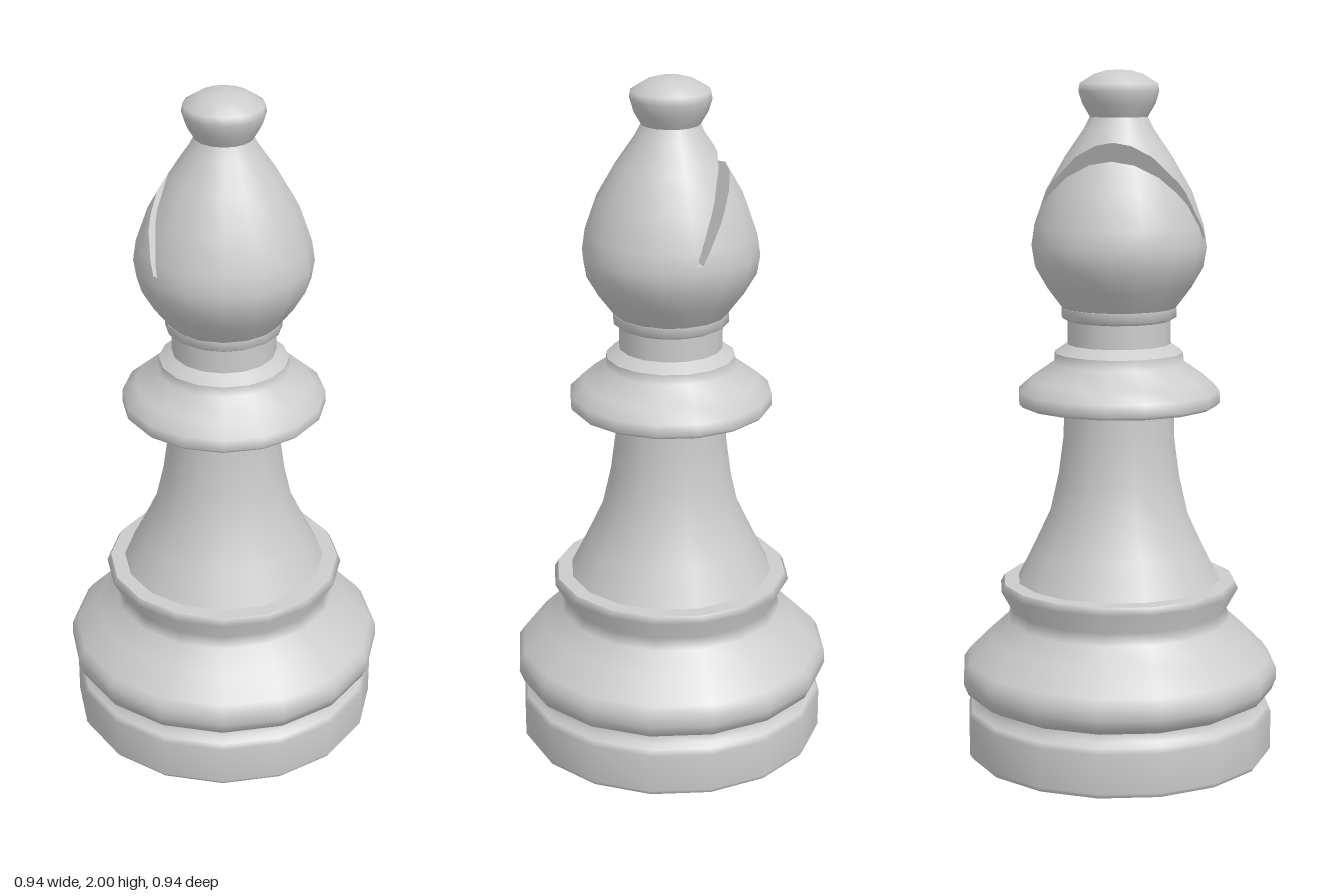
import * as THREE from 'three';

const SIDES = 16;
const material = new THREE.MeshStandardMaterial({ color: 0xcccccc, side: THREE.DoubleSide });

function lathe(profile) {
  return new THREE.LatheGeometry(profile.map(([r, y]) => new THREE.Vector2(r, y)), SIDES);
}

// Geometry -> list of triangles, each three { p, n } corners
function toTriangles(geometry) {
  const g = geometry.toNonIndexed();
  const { position, normal } = g.attributes;
  const tris = [];
  for (let i = 0; i < position.count; i += 3) {
    tris.push([0, 1, 2].map((k) => ({
      p: new THREE.Vector3().fromBufferAttribute(position, i + k),
      n: new THREE.Vector3().fromBufferAttribute(normal, i + k),
    })));
  }
  return tris;
}

// Keeps the side where dist(p) >= 0 and collects the cut edges
function clip(tris, dist) {
  const kept = [], cuts = [];
  for (const tri of tris) {
    const poly = [], cut = [];
    tri.forEach((a, i) => {
      const b = tri[(i + 1) % 3];
      const da = dist(a.p), db = dist(b.p);
      if (da >= 0) poly.push(a);
      if ((da >= 0) !== (db >= 0)) {
        const t = da / (da - db);
        const v = { p: a.p.clone().lerp(b.p, t), n: a.n.clone().lerp(b.n, t).normalize() };
        poly.push(v);
        cut.push(v.p);
      }
    });
    for (let i = 1; i + 1 < poly.length; i++) kept.push([poly[0], poly[i], poly[i + 1]]);
    if (cut.length === 2) cuts.push(cut);
  }
  return { kept, cuts };
}

function fromTriangles(tris) {
  const g = new THREE.BufferGeometry();
  const corners = tris.flat();
  const flat = (key) => new THREE.Float32BufferAttribute(corners.flatMap((c) => c[key].toArray()), 3);
  g.setAttribute('position', flat('p'));
  g.setAttribute('normal', flat('n'));
  return g;
}

// Flat wall of the slit: a fan from the slit's root to the cut edges
function wall(root, cuts, normal) {
  return cuts.map(([a, b]) => {
    const facing = a.clone().sub(root).cross(b.clone().sub(root)).dot(normal) > 0;
    return [root, facing ? a : b, facing ? b : a].map((p) => ({ p, n: normal }));
  });
}

// Head with a slanted slit cut right through from front to back
function slitHead(profile) {
  const slitY = 1.525;
  const all = toTriangles(lathe(profile));
  const lower = clip(all, (p) => slitY - p.y);
  const upper = clip(all, (p) => p.y - slitY).kept;
  const tris = [...lower.kept];
  // [root x, outer x, outer y, side that stays]
  for (const [x0, x1, y1, side] of [[-0.005, -0.118, 1.785, 1], [-0.025, -0.159, 1.75, -1]]) {
    const root = new THREE.Vector3(x0, slitY, 0);
    const keep = new THREE.Vector3(y1 - slitY, x0 - x1, 0).normalize().multiplyScalar(side);
    const part = clip(upper, (p) => p.clone().sub(root).dot(keep));
    tris.push(...part.kept, ...wall(root, part.cuts, keep.clone().negate()));
  }
  // Narrow floor of the slit
  const up = new THREE.Vector3(0, 1, 0);
  const c = [[-0.025, 0.248], [-0.005, 0.25], [-0.005, -0.25], [-0.025, -0.248]]
    .map(([x, z]) => ({ p: new THREE.Vector3(x, slitY, z), n: up }));
  tris.push([c[0], c[1], c[2]], [c[0], c[2], c[3]]);
  return fromTriangles(tris);
}

export function createModel() {
  const model = new THREE.Group();
  model.name = 'chessBishop';
  const add = (name, geometry) => {
    const mesh = new THREE.Mesh(geometry, material);
    mesh.name = name;
    model.add(mesh);
  };

  // Hollow foot, open underneath
  add('foot', lathe([[0.443, 0], [0.453, 0.015], [0.453, 0.13], [0.443, 0.145], [0.425, 0.155], [0.42, 0.178]]));
  // Wide skirt above the groove, flaring into a rim
  add('skirt', lathe([[0.42, 0.178], [0.455, 0.197], [0.468, 0.23], [0.467, 0.265], [0.45, 0.29],
    [0.385, 0.355], [0.33, 0.405], [0.32, 0.44], [0.353, 0.5], [0.342, 0.52]]));
  add('skirtTop', lathe([[0.342, 0.52], [0.295, 0.522]]));
  // Tapered shaft
  add('shaft', lathe([[0.3, 0.52], [0.25, 0.62], [0.203, 0.72], [0.178, 0.83], [0.163, 0.94], [0.16, 1.045]]));
  // Collar and neck
  add('collarUnderside', lathe([[0.15, 1.042], [0.285, 1.042]]));
  add('collar', lathe([[0.285, 1.042], [0.295, 1.052], [0.294, 1.085], [0.255, 1.12], [0.19, 1.165],
    [0.187, 1.195]]));
  add('collarTop', lathe([[0.187, 1.195], [0.15, 1.22]]));
  add('neck', lathe([[0.15, 1.22], [0.15, 1.288]]));
  add('neckRing', lathe([[0.15, 1.288], [0.167, 1.298], [0.167, 1.325]]));
  // Head
  add('head', slitHead([[0.165, 1.325], [0.21, 1.385], [0.245, 1.445], [0.254, 1.5], [0.245, 1.56],
    [0.21, 1.66], [0.155, 1.755], [0.1, 1.835], [0.083, 1.868]]));
  // Finial
  add('finial', lathe([[0.083, 1.868], [0.105, 1.905], [0.116, 1.94], [0.112, 1.962], [0.07, 1.988],
    [0.035, 1.998], [0, 2]]));
  return model;
}
